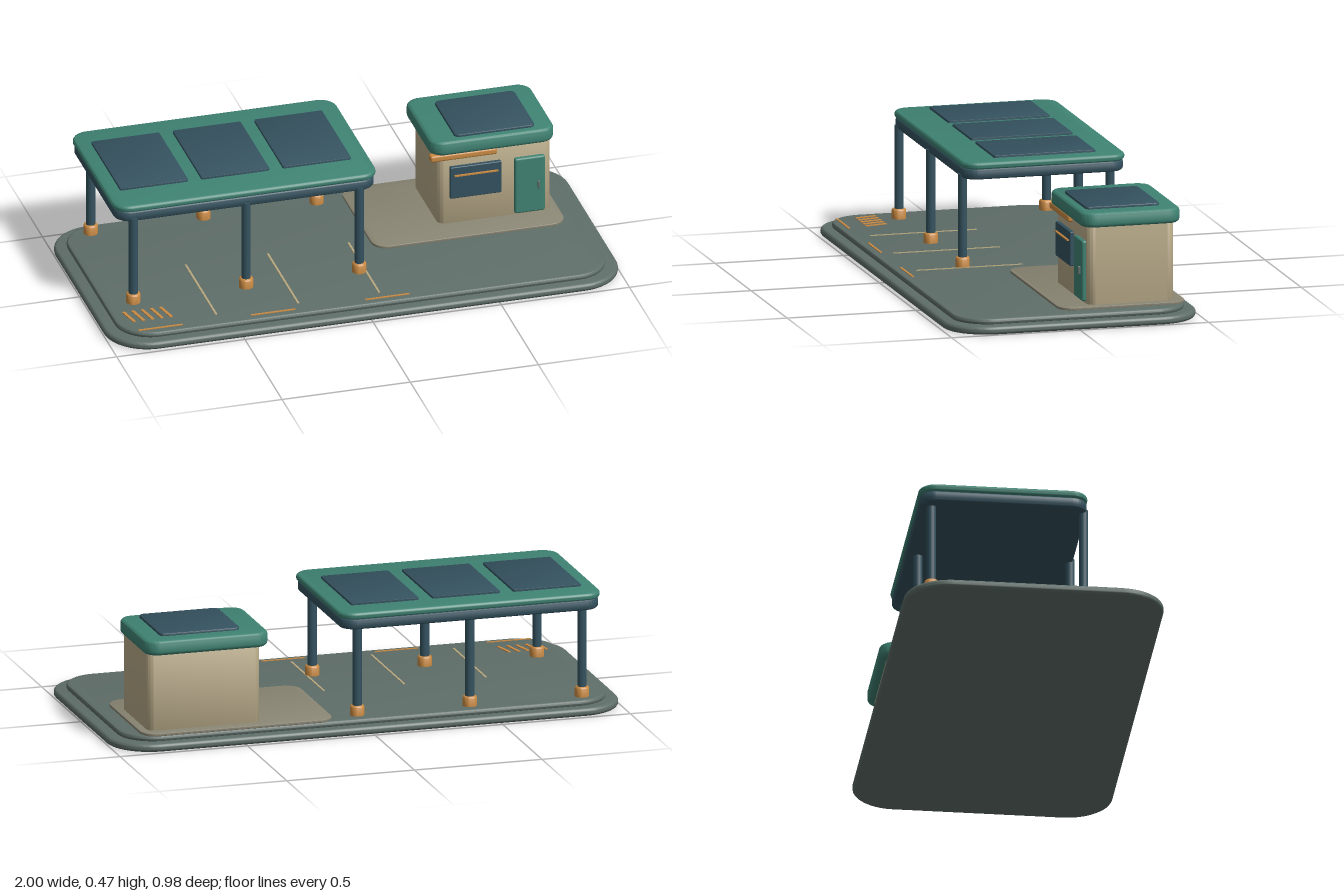
import * as THREE from 'three';
import { toCreasedNormals } from 'three/addons/utils/BufferGeometryUtils.js';
import { RoundedBoxGeometry } from 'three/addons/geometries/RoundedBoxGeometry.js';

const colour = (name, color) => {
  const m = new THREE.MeshStandardMaterial({ color });
  m.name = name;
  return m;
};

export function createModel() {
  const asphalt = colour('asphalt grey', 0x5f6e69);
  const concrete = colour('concrete', 0x8a8674);
  const cream = colour('cream wall', 0xb8aa88);
  const green = colour('roof green', 0x3f8373);
  const navy = colour('slate blue', 0x34525f);
  const amber = colour('amber', 0xc98a43);
  const paint = colour('line paint', 0xb7a880);

  const model = new THREE.Group();
  model.name = 'shelterWithKiosk';

  const add = (name, geometry, material, parent = model) => {
    const mesh = new THREE.Mesh(geometry, material);
    mesh.name = name;
    parent.add(mesh);
    return mesh;
  };
  const group = (name) => {
    const g = new THREE.Group();
    g.name = name;
    model.add(g);
    return g;
  };

  // Horizontal slab with rounded corners (r) and softened rims (b)
  const slab = (name, material, [x0, x1], [y0, y1], [z0, z1], r, b, parent) => {
    const w = (x1 - x0) / 2 - b, d = (z1 - z0) / 2 - b, c = Math.max(r - b, 0.001);
    const s = new THREE.Shape();
    s.absarc(w - c, d - c, c, 0, Math.PI / 2);
    s.absarc(-w + c, d - c, c, Math.PI / 2, Math.PI);
    s.absarc(-w + c, -d + c, c, Math.PI, Math.PI * 1.5);
    s.absarc(w - c, -d + c, c, Math.PI * 1.5, Math.PI * 2);
    const g = new THREE.ExtrudeGeometry(s, {
      depth: y1 - y0 - 2 * b, bevelEnabled: b > 0, bevelThickness: b,
      bevelSize: b, bevelSegments: 4, curveSegments: 10,
    });
    g.rotateX(-Math.PI / 2);
    g.translate((x0 + x1) / 2, y0 + b, (z0 + z1) / 2);
    return add(name, toCreasedNormals(g, 0.7), material, parent);
  };
  // Box given by its extents, optionally rounded
  const box = (name, material, [x0, x1], [y0, y1], [z0, z1], r, parent) => {
    const size = [x1 - x0, y1 - y0, z1 - z0];
    const g = r ? new RoundedBoxGeometry(...size, 3, r) : new THREE.BoxGeometry(...size);
    g.translate((x0 + x1) / 2, (y0 + y1) / 2, (z0 + z1) / 2);
    return add(name, g, material, parent);
  };

  // Ground
  const ground = group('ground');
  slab('baseSlab', asphalt, [-1, 1], [0, 0.031], [-0.49, 0.49], 0.17, 0.013, ground);
  slab('paving', asphalt, [-0.955, 0.955], [0.029, 0.052], [-0.45, 0.45], 0.14, 0.01, ground);
  slab('kioskPad', concrete, [0.14, 0.89], [0.05, 0.062], [-0.45, 0.045], 0.06, 0.004, ground);

  // Painted bay lines, front stop marks and slanted hatching
  for (const x of [-0.575, -0.255, 0.06])
    box('bayLine', paint, [x - 0.004, x + 0.004], [0.05, 0.0545], [-0.04, 0.375], 0, ground);
  for (const x of [-0.805, -0.365, 0.08])
    box('stopMark', amber, [x - 0.086, x + 0.086], [0.05, 0.0545], [0.411, 0.42], 0, ground);
  for (let i = 0; i < 5; i++) {
    const bar = add('hatchMark', new THREE.BoxGeometry(0.012, 0.005, 0.088), amber, ground);
    bar.position.set(-0.895 + i * 0.036, 0.0525, 0.303);
    bar.rotation.y = 0.22;
  }

  // Canopy roof with three panels
  const canopy = group('canopy');
  slab('canopyFrame', navy, [-0.91, 0.105], [0.395, 0.437], [-0.432, 0.197], 0.06, 0.012, canopy);
  slab('canopyRoof', green, [-0.916, 0.112], [0.435, 0.462], [-0.437, 0.2], 0.065, 0.012, canopy);
  for (const x of [-0.727, -0.41, -0.092])
    slab('roofPanel', navy, [x - 0.133, x + 0.133], [0.458, 0.471], [-0.33, 0.065], 0.008, 0.003, canopy);

  // Posts on amber feet
  const footProfile = [[0, 0], [0.027, 0], [0.027, 0.034], [0.025, 0.038], [0.021, 0.04], [0, 0.04]]
    .map(([x, y]) => new THREE.Vector2(x, y));
  const footGeometry = toCreasedNormals(new THREE.LatheGeometry(footProfile, 20), 0.7);
  const postGeometry = new THREE.CylinderGeometry(0.0175, 0.0175, 0.35, 20);
  for (const x of [-0.845, -0.405, 0.036])
    for (const z of [0.187, -0.387]) {
      // The front post stands just inside the canopy rim
      add('post', postGeometry, navy, canopy).position.set(x, 0.235, z);
      add('postFoot', footGeometry, amber, canopy).position.set(x, 0.051, z);
    }

  // Kiosk body and roof
  const kiosk = group('kiosk');
  slab('kioskWalls', cream, [0.42, 0.86], [0.058, 0.38], [-0.408, -0.07], 0.03, 0.004, kiosk);
  slab('kioskRoof', green, [0.388, 0.874], [0.358, 0.415], [-0.435, -0.047], 0.055, 0.015, kiosk);
  slab('kioskRoofPanel', navy, [0.488, 0.8], [0.41, 0.425], [-0.367, -0.08], 0.02, 0.004, kiosk);

  // Kiosk front: awning, serving window and door
  box('awning', amber, [0.385, 0.645], [0.335, 0.361], [-0.085, -0.052], 0.008, kiosk);
  box('window', navy, [0.462, 0.662], [0.17, 0.302], [-0.075, -0.055], 0.004, kiosk);
  box('windowBar', amber, [0.478, 0.648], [0.265, 0.27], [-0.057, -0.047], 0, kiosk);
  box('door', green, [0.714, 0.832], [0.07, 0.302], [-0.078, -0.054], 0.008, kiosk);
  box('doorHandle', asphalt, [0.801, 0.81], [0.17, 0.201], [-0.056, -0.045], 0.003, kiosk);

  return model;
}
